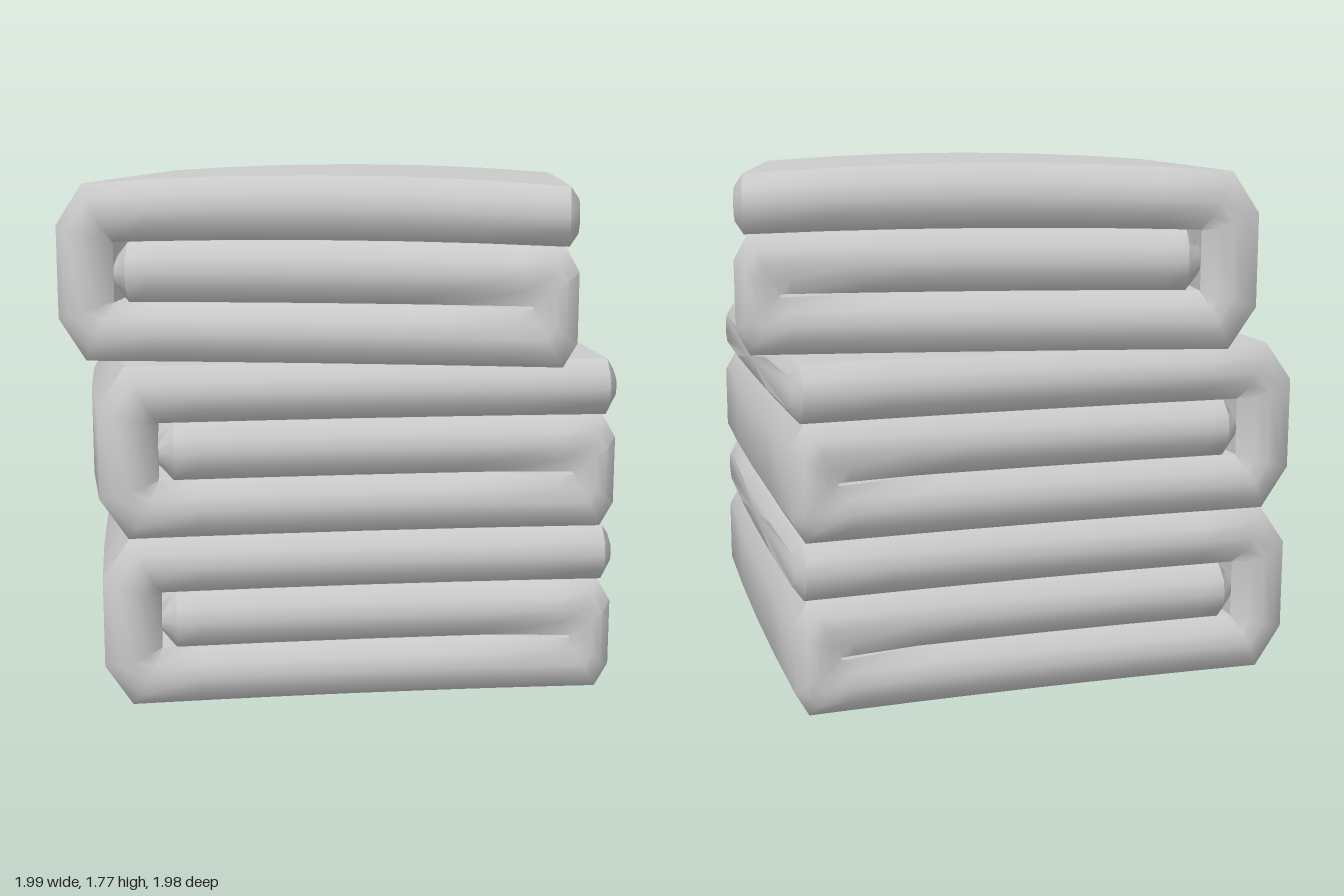
import * as THREE from 'three';
import { toCreasedNormals } from 'three/addons/utils/BufferGeometryUtils.js';

const H = 0.58, HALF_Z = 0.862, BEVEL = 0.055;

// Stations along the folded cloth: outer x, y, inner x, y, end inset, inner groove depth
function foldStations() {
  const list = [];
  const add = (ox, oy, ix, iy, inset = 0, groove = BEVEL) => list.push([ox, oy, ix, iy, inset, groove]);
  const run = (xs, outer, inner) => xs.forEach(x => add(x, outer, x, inner));
  // top layer, from its free end
  add(0.86, 0.54, 0.86, 0.43, 0.04);
  run([0.83, 0.55, 0.3, 0, -0.3, -0.55], H, 0.39);
  // large fold wrapping the left side
  add(-0.78, H, -0.68, 0.39);
  add(-0.87, 0.45, -0.68, 0.383);
  add(-0.87, 0.14, -0.68, 0.2);
  add(-0.78, 0, -0.68, 0.194);
  // bottom layer
  run([-0.55, -0.3, 0, 0.3, 0.45], 0, 0.194);
  add(0.68, 0, 0.68, 0.19, 0, 0.02);
  // small fold on the right side
  add(0.82, 0, 0.715, 0.19, 0, 0.015);
  add(0.865, 0.08, 0.72, 0.193, 0, 0.015);
  add(0.865, 0.31, 0.72, 0.197, 0, 0.015);
  add(0.82, 0.388, 0.715, 0.2, 0, 0.015);
  // tucked middle layer
  add(0.68, 0.388, 0.68, 0.2, 0, 0.02);
  run([0.45, 0.3, 0, -0.3, -0.55, -0.63], 0.388, 0.196);
  add(-0.679, 0.34, -0.679, 0.24, 0.05);
  return list;
}

// Closed ring across the cloth: [t from outer to inner, z]
function ring(inset, groove) {
  const edge = HALF_Z - inset, pts = [];
  const across = [-1, -0.5, 0, 0.5, 1];
  across.forEach(s => pts.push([0, s * (edge - BEVEL)]));
  pts.push([0.25, edge - 0.008], [0.5, edge], [0.75, edge - Math.min(0.008, groove)]);
  across.forEach(s => pts.push([1, -s * (edge - groove)]));
  pts.push([0.75, -edge + Math.min(0.008, groove)], [0.5, -edge], [0.25, -edge + 0.008]);
  return pts;
}

function towelGeometry(bulgeLeft, bulgeRight, dome) {
  const positions = [], index = [];
  const stations = foldStations();
  // soft sag and bulge of the cloth
  const push = (x, y, z) => {
    const mid = 1 - Math.min(1, (x / 0.86) ** 2);
    const across = 1 - Math.min(1, (z / HALF_Z) ** 2);
    const side = Math.max(0, (Math.abs(x) - 0.68) / 0.19);
    const bulge = side * across * (x < 0 ? -bulgeLeft : bulgeRight);
    positions.push(x + bulge, y + dome * (y / H) ** 2 * mid, z * (1 - 0.025 * mid));
  };
  let n = 0;
  stations.forEach(([ox, oy, ix, iy, inset, groove]) => {
    const pts = ring(inset, groove);
    n = pts.length;
    pts.forEach(([t, z]) => push(ox + (ix - ox) * t, oy + (iy - oy) * t, z));
  });
  for (let s = 0; s < stations.length - 1; s++) {
    for (let k = 0; k < n; k++) {
      const a = s * n + k, d = s * n + (k + 1) % n;
      index.push(a, a + n, d + n, a, d + n, d);
    }
  }
  // end caps
  [0, stations.length - 1].forEach((s, end) => {
    const [ox, oy, ix, iy] = stations[s];
    const centre = positions.length / 3;
    push((ox + ix) / 2, (oy + iy) / 2, 0);
    for (let k = 0; k < n; k++) {
      const a = s * n + k, b = s * n + (k + 1) % n;
      if (end) index.push(centre, b, a);
      else index.push(centre, a, b);
    }
  });
  const g = new THREE.BufferGeometry();
  g.setAttribute('position', new THREE.Float32BufferAttribute(positions, 3));
  g.setIndex(index);
  return toCreasedNormals(g, 0.74);
}

export function createModel() {
  const group = new THREE.Group();
  group.name = 'foldedTowelStack';
  const material = new THREE.MeshStandardMaterial({ color: 0xcccccc });
  const towels = [
    { name: 'bottomTowel', bulge: [0.018, 0.015], dome: 0, y: 0, z: -0.037, turn: 0, scale: 1 },
    { name: 'middleTowel', bulge: [0.053, 0.015], dome: 0, y: 0.58, z: -0.037, turn: 0, scale: 1 },
    { name: 'topTowel', bulge: [0.01, 0.005], dome: 0.035, y: 1.16, z: 0, turn: -0.202, scale: 0.985 },
  ];
  towels.forEach(t => {
    const mesh = new THREE.Mesh(towelGeometry(...t.bulge, t.dome), material);
    mesh.name = t.name;
    mesh.position.set(0, t.y, t.z);
    mesh.rotation.y = t.turn;
    mesh.scale.set(t.scale, 1, t.scale);
    group.add(mesh);
  });
  return group;
}
